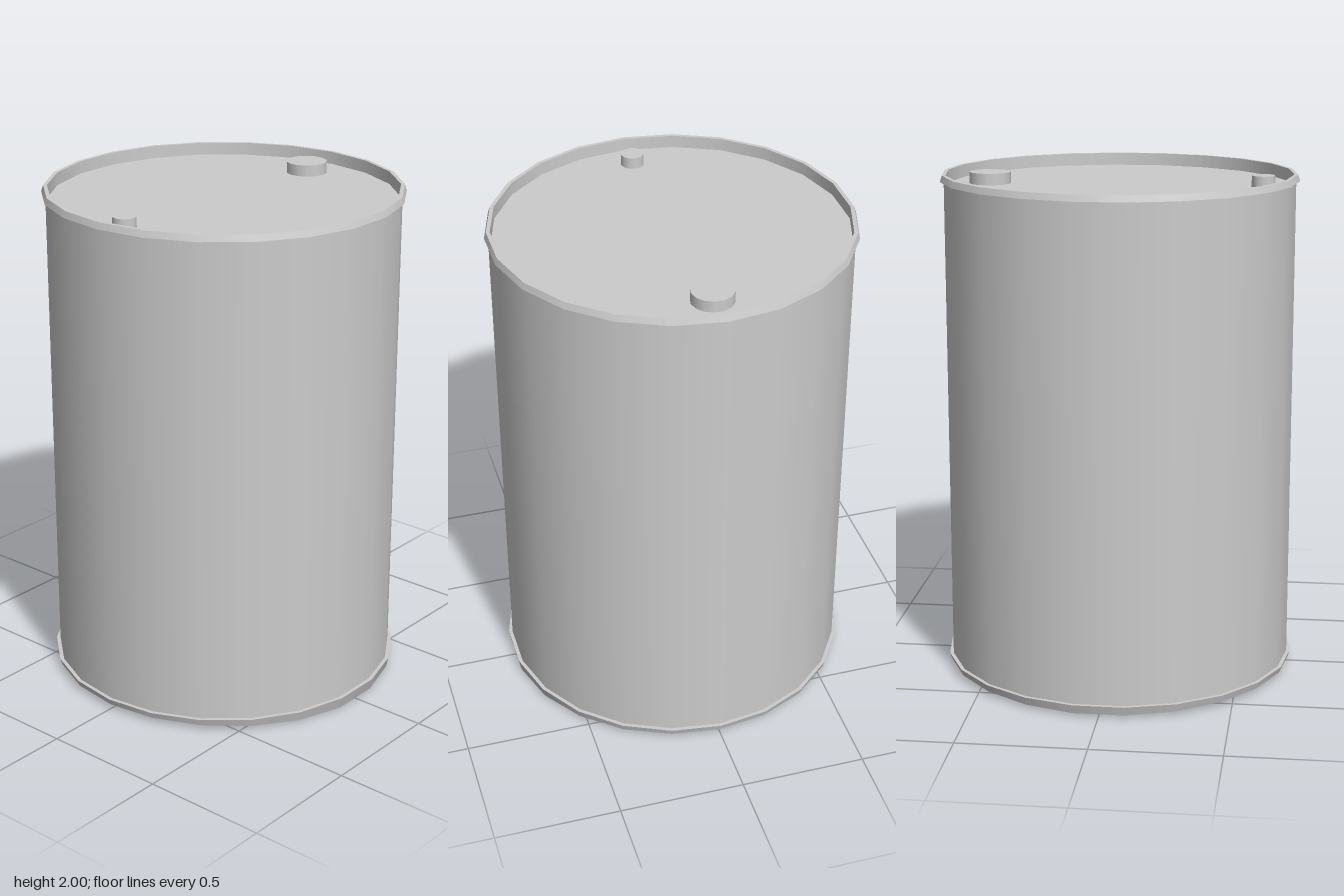
import * as THREE from 'three';
import { mergeGeometries } from 'three/addons/utils/BufferGeometryUtils.js';

const SIDES = 22;
const material = new THREE.MeshStandardMaterial({ color: 0xcccccc });

// Revolves each profile segment on its own: smooth around, sharp between bands.
function bands(name, profile) {
  const parts = [];
  for (let i = 0; i + 1 < profile.length; i++) {
    const pts = [profile[i], profile[i + 1]].map(([r, y]) => new THREE.Vector2(r, y));
    parts.push(new THREE.LatheGeometry(pts, SIDES, Math.PI / 2));
  }
  const mesh = new THREE.Mesh(mergeGeometries(parts), material);
  mesh.name = name;
  return mesh;
}

// Screw plug standing on the lid.
function plug(name, x, radius, sides) {
  const mesh = new THREE.Mesh(new THREE.CylinderGeometry(radius, radius, 0.045, sides), material);
  mesh.position.set(x, 1.9725, 0);
  mesh.name = name;
  return mesh;
}

export function createModel() {
  const barrel = new THREE.Group();
  barrel.name = 'barrel';

  // Straight drum wall
  barrel.add(bands('wall', [[0.69, 0.045], [0.69, 1.975]]));

  // Raised top rim, its inner wall and the sunken lid
  barrel.add(bands('topRim', [[0.69, 1.975], [0.705, 1.975], [0.697, 2], [0.682, 2], [0.682, 1.95]]));
  barrel.add(bands('lid', [[0.682, 1.95], [0, 1.95]]));

  // Bottom rim and base, with the lower edge slightly dented down at front and back
  const base = bands('base', [[0, 0.02], [0.697, 0.02], [0.705, 0.045], [0.69, 0.045]]);
  const pos = base.geometry.attributes.position;
  for (let i = 0; i < pos.count; i++) {
    if (pos.getY(i) > 0.03) continue;
    const z = pos.getZ(i) / 0.69;
    pos.setY(i, 0.02 - (z > 0 ? 0.02 : 0.01) * z ** 4);
  }
  barrel.add(base);

  // Large and small plugs
  barrel.add(plug('largePlug', 0.515, 0.082, 14));
  barrel.add(plug('smallPlug', -0.563, 0.046, 12));
  return barrel;
}
